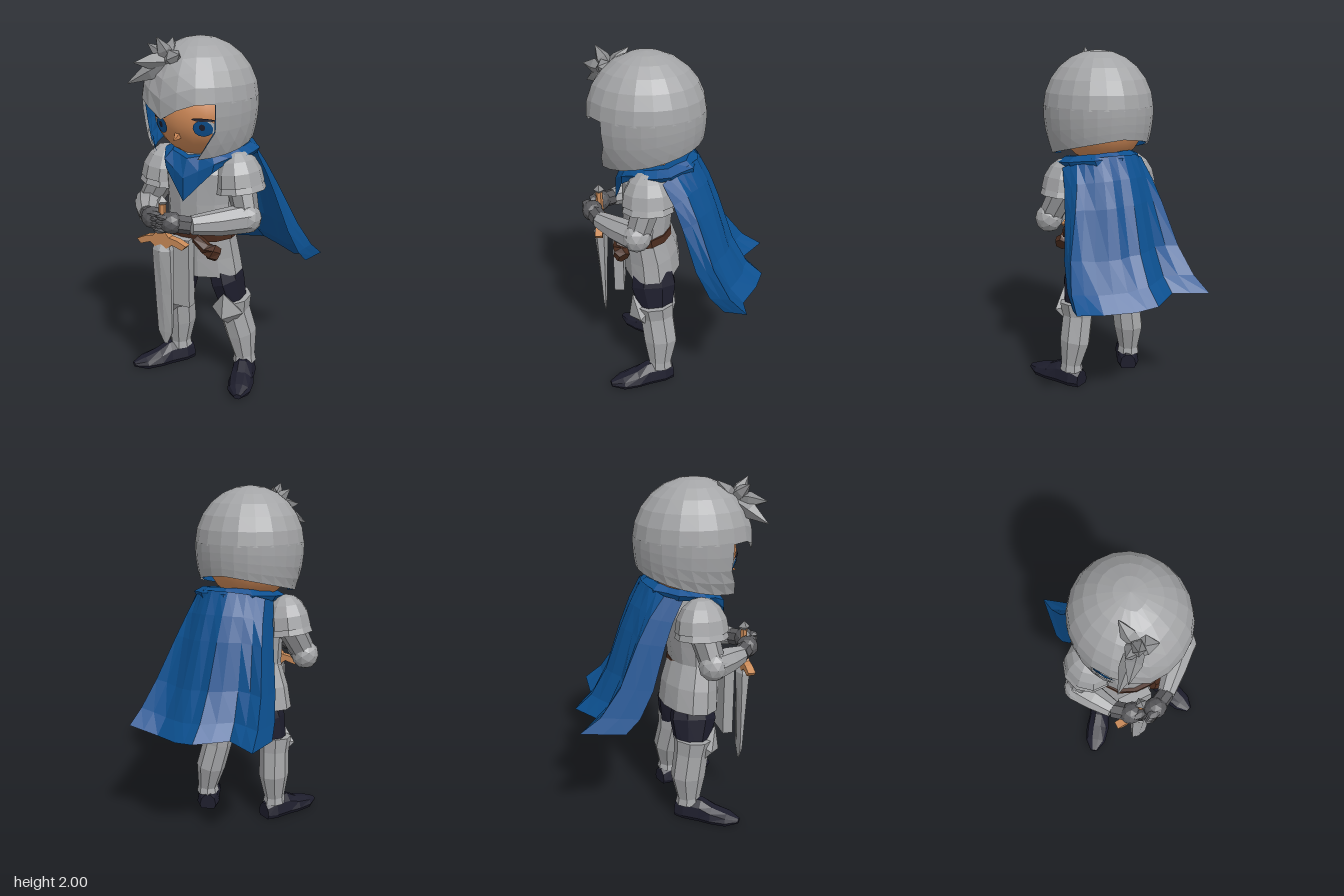
import * as THREE from 'three';

const { sin, cos, abs, max, PI, sqrt } = Math;
const V = (x, y, z) => new THREE.Vector3(x, y, z);
const lerp = THREE.MathUtils.lerp;
const mat = (name, color, side = THREE.FrontSide) => {
  const m = new THREE.MeshStandardMaterial({ color, side });
  m.name = name;
  return m;
};

// Faceted skin through rings of points, optionally closed round and capped
function loft(rings, closed = true, caps = closed) {
  const n = rings[0].length, pos = [], idx = [];
  rings.flat().forEach(p => pos.push(p.x, p.y, p.z));
  for (let i = 0; i < rings.length - 1; i++)
    for (let j = 0; j < (closed ? n : n - 1); j++) {
      const k = (j + 1) % n, a = i * n + j, b = i * n + k, c = b + n, d = a + n;
      idx.push(a, b, d, b, c, d);
    }
  if (caps) {
    const top = (rings.length - 1) * n;
    for (let j = 1; j < n - 1; j++) idx.push(0, j + 1, j, top, top + j, top + j + 1);
  }
  const g = new THREE.BufferGeometry();
  g.setAttribute('position', new THREE.Float32BufferAttribute(pos, 3));
  g.setIndex(idx);
  return facet(g);
}
function facet(g) {
  const f = g.index ? g.toNonIndexed() : g;
  f.computeVertexNormals();
  return f;
}
// Tapered limb along sections [x, y, z, rx, rz]
function limb(sections, sides = 8, caps = true) {
  const pts = sections.map(s => V(s[0], s[1], s[2]));
  return loft(sections.map((s, i) => {
    const dir = pts[Math.min(i + 1, pts.length - 1)].clone().sub(pts[max(i - 1, 0)]).normalize();
    const q = new THREE.Quaternion().setFromUnitVectors(V(0, 1, 0), dir);
    return Array.from({ length: sides }, (_, j) => {
      const a = (j + 0.5) / sides * 2 * PI;
      return V(cos(a) * s[3], 0, -sin(a) * (s[4] ?? s[3])).applyQuaternion(q).add(pts[i]);
    });
  }), true, caps);
}

export function createModel() {
  const root = new THREE.Group();
  const silver = mat('silver armour', 0xa3a4a6, THREE.DoubleSide);
  const blue = mat('blue cloth', 0x0c5090, THREE.DoubleSide);
  const skin = mat('skin', 0xd08a58);
  const navy = mat('dark navy', 0x1d1d2c);
  const iron = mat('dark iron', 0x58585b);
  const steel = mat('plume grey', 0x8c8d8f);
  const brown = mat('brown leather', 0x4b2c1e);
  const gold = mat('copper hilt', 0xc98a58);
  const white = mat('eye white', 0xb4b8bc);

  const add = (name, geo, m) => {
    const mesh = new THREE.Mesh(geo, m);
    mesh.name = name;
    root.add(mesh);
  };
  const ball = (name, m, [x, y, z], [a, b, c], detail = 1) =>
    add(name, facet(new THREE.IcosahedronGeometry(1, detail).scale(a, b, c).translate(x, y, z)), m);

  // Head and face
  add('head', new THREE.SphereGeometry(1, 20, 14).scale(0.255, 0.25, 0.26).translate(-0.07, 1.59, 0.135), skin);
  add('neck', limb([[-0.05, 1.25, 0.1, 0.1], [-0.06, 1.45, 0.1, 0.1]]), skin);
  const faceZ = (x, y) => 0.135 + 0.26 * sqrt(max(0, 1 - ((x + 0.07) / 0.255) ** 2 - ((y - 1.59) / 0.25) ** 2));
  const plate = (name, m, x, y, w, h, lift, tilt = 0) => {
    const g = new THREE.CircleGeometry(1, 12).scale(w, h, 1).rotateZ(tilt).translate(x, y, 0);
    const p = g.attributes.position;
    for (let i = 0; i < p.count; i++) p.setZ(i, faceZ(p.getX(i), p.getY(i)) + lift);
    g.computeVertexNormals();
    add(name, g, m);
  };
  for (const s of [-1, 1]) {
    const x = -0.062 + s * 0.122;
    plate('eyeWhite', white, x + s * 0.014, 1.532, 0.05, 0.038, 0.004);
    plate('iris', blue, x, 1.53, 0.045, 0.045, 0.007);
    plate('pupil', navy, x, 1.537, 0.014, 0.018, 0.009);
    plate('eyelash', navy, x + s * 0.005, 1.577, 0.052, 0.009, 0.009, -s * 0.1);
  }
  add('nose', limb([[-0.082, 1.485, 0.36, 0.024], [-0.085, 1.462, 0.405, 0.003]], 4), skin);

  // Helmet turned slightly aside: dome with a pointed brow, cheek guards, blue lining
  const helmPoint = (phi, y, s = 1) => {
    const d = y - 1.66, r = s * sqrt(max(0, 1 - (d / (d > 0 ? 0.33 : 0.5)) ** 2));
    return V(-0.06 + 0.315 * r * sin(phi - 0.18), y, 0.155 + 0.335 * r * cos(phi - 0.18));
  };
  const dome = [], guard = [], lining = [];
  for (let i = 0; i <= 6; i++)
    dome.push(Array.from({ length: 20 }, (_, j) => {
      const phi = (j / 20) * 2 * PI - PI;
      const rim = 1.67 - 0.085 * max(0, 1 - abs(phi) / 0.5);
      return helmPoint(phi, lerp(rim, 1.99, sin(i / 6 * PI / 2)));
    }));
  for (let i = 0; i <= 4; i++) {
    const row = s => Array.from({ length: 19 }, (_, j) => {
      const phi = lerp(0.65, 2 * PI - 0.65, j / 18);
      const y = lerp(1.44 - 0.07 * cos(phi) - 0.02 * abs(sin(phi)), 1.68, i / 4);
      const open = 0.95 - 0.3 * max(0, 1.52 - y) / 0.14;
      return helmPoint(lerp(open, 2 * PI - open, j / 18), y, s);
    });
    guard.push(row(1));
    lining.push(row(0.95));
  }
  add('helmetDome', loft(dome, true, false), silver);
  add('helmetGuard', loft(guard, false), silver);
  add('helmetLining', loft(lining, false), blue);

  // Plume tuft of leaf-shaped spikes on the brow
  const tuft = [-0.13, 1.87, 0.36];
  for (const [x, y, z, r] of [[-0.16, 1.995, 0.43, 0.04], [-0.3, 1.76, 0.5, 0.045], [-0.25, 1.87, 0.51, 0.045],
    [-0.17, 1.98, 0.25, 0.04], [-0.04, 1.91, 0.41, 0.05], [-0.22, 1.96, 0.42, 0.04]])
    add('plumeSpike', limb([[...tuft, r], [...[x, y, z].map((v, k) => lerp(tuft[k], v, 0.5)), r],
      [x, y, z, 0.002]], 5), steel);

  // Torso, armoured skirt, belt
  add('breastplate', limb([[-0.05, 0.92, 0.17, 0.2, 0.14], [-0.06, 1.08, 0.16, 0.2, 0.15],
    [-0.06, 1.25, 0.15, 0.22, 0.16], [-0.05, 1.36, 0.12, 0.15, 0.11]], 12), silver);
  add('armourSkirt', limb([[-0.075, 0.68, 0.135, 0.255, 0.17], [-0.07, 0.8, 0.145, 0.235, 0.165],
    [-0.05, 0.94, 0.17, 0.2, 0.145]], 12, false), silver);
  add('hips', limb([[-0.05, 0.68, 0.13, 0.17, 0.11], [-0.05, 0.85, 0.14, 0.17, 0.12]]), navy);
  const belt = limb([[-0.045, 0.9, 0.175, 0.212, 0.157], [-0.045, 0.945, 0.175, 0.212, 0.157]], 12);
  add('belt', belt.translate(0.045, -0.92, -0.175).rotateX(0.1).translate(-0.045, 0.92, 0.175), brown);
  add('beltPouch', limb([[0, 0.91, 0.33, 0.03], [0.06, 0.86, 0.33, 0.035], [0.09, 0.84, 0.32, 0.048],
    [0.12, 0.82, 0.3, 0.04]], 6), brown);
  add('tabard', facet(new THREE.BoxGeometry(0.19, 0.4, 0.06).translate(-0.12, 0.7, 0.343)), silver);

  // Shoulders and arms: [side, shoulder, elbow, wrist, hand]
  const arms = [
    [1, [0.18, 1.22, 0.15], [0.255, 1.03, 0.215], [0.03, 1.02, 0.435], [-0.065, 1.035, 0.485]],
    [-1, [-0.305, 1.21, 0.14], [-0.4, 1.02, 0.18], [-0.28, 1.02, 0.38], [-0.2, 1.035, 0.45]],
  ];
  for (const [s, sh, el, wr, ha] of arms) {
    const cap = new THREE.SphereGeometry(1, 10, 4, 0, 2 * PI, 0, PI / 2);
    const layer = (w, h, dy) => facet(cap.clone().scale(w, h, 0.15).rotateZ(s * 0.12).translate(sh[0], sh[1] + dy, sh[2]));
    add('pauldron', layer(0.135, 0.19, -0.02), silver);
    add('pauldronLowerPlate', layer(0.147, 0.1, -0.055), silver);
    add('upperArm', limb([[...el, 0.07], [...sh, 0.085]]), steel);
    ball('elbowPlate', silver, el, [0.08, 0.085, 0.085]);
    add('vambrace', limb([[...el, 0.082], [lerp(el[0], wr[0], 0.5), 1.02, lerp(el[2], wr[2], 0.5), 0.073],
      [...wr, 0.052]]), silver);
    add('gauntletCuff', limb([[...wr, 0.05], [...ha, 0.05]], 7), iron);
    ball('hand', iron, ha, [0.068, 0.062, 0.062]);
    for (let k = 0; k < 4; k++)
      ball('finger', iron, [ha[0] - s * (0.03 + 0.006 * k), ha[1] + 0.035 - 0.025 * k, ha[2] + 0.035], [0.04, 0.016, 0.032], 0);
  }

  // Legs, knee plates and boots: x of foot, knee, hip, then boot turn
  for (const [foot, knee, hip, turn] of [[0.19, 0.13, 0.05, 0.33], [-0.25, -0.24, -0.15, -0.62]]) {
    add('thigh', limb([[knee, 0.42, 0.11, 0.075, 0.09], [lerp(knee, hip, 0.45), 0.62, 0.13, 0.088, 0.14],
      [hip, 0.77, 0.135, 0.09, 0.11]]), navy);
    add('greave', limb([[foot, 0.09, 0.095, 0.068, 0.078], [foot, 0.13, 0.095, 0.06, 0.07],
      [lerp(foot, knee, 0.4), 0.27, 0.09, 0.088, 0.103], [knee, 0.42, 0.11, 0.088, 0.103],
      [knee, 0.51, 0.12, 0.098, 0.115]]), silver);
    const cop = new THREE.OctahedronGeometry(1).scale(0.1, 0.13, 0.08).rotateX(0.4);
    add('kneePlate', facet(cop.translate(knee, 0.45, 0.205)), silver);
    const boot = loft([[-0.08, 0.05, 0.07], [-0.02, 0.07, 0.11], [0.08, 0.068, 0.105], [0.15, 0.075, 0.068],
      [0.24, 0.066, 0.042], [0.31, 0.022, 0.015]].map(([z, w, h]) => Array.from({ length: 10 }, (_, j) => {
      const a = (j / 10) * 2 * PI;
      return V(cos(a) * w, max(0, 0.025 + sin(a) * h), z);
    })));
    add('boot', boot.rotateY(turn).translate(foot, 0, 0.1), navy);
  }

  // Sword held point down
  const sx = -0.14, sz = 0.45;
  add('swordGrip', limb([[sx, 0.9, sz, 0.022], [sx, 1.12, sz, 0.02]], 6), gold);
  add('pommel', facet(new THREE.OctahedronGeometry(0.035).translate(sx, 1.135, sz)), steel);
  const half = [[0, 0.86], [0.04, 0.88], [0.07, 0.9], [0.13, 0.88], [0.155, 0.905], [0.1, 0.93], [0.05, 0.94], [0, 1.0]];
  const outline = [...half, ...half.slice(1, -1).reverse().map(([x, y]) => [-x, y])];
  const guardShape = new THREE.Shape(outline.map(([x, y]) => new THREE.Vector2(x, y)));
  const guardGeo = new THREE.ExtrudeGeometry(guardShape, { depth: 0.044, bevelEnabled: false });
  add('crossguard', guardGeo.translate(sx, 0, sz - 0.022), gold);
  add('blade', limb([[sx, 0.285, 0.445, 0.012, 0.004], [sx, 0.36, 0.445, 0.052, 0.012],
    [sx, 0.6, 0.447, 0.06, 0.026], [sx, 0.86, sz, 0.066, 0.043], [sx, 0.9, sz, 0.05, 0.02]], 6), silver);

  // Scarf round the neck, pointed at the chest
  const scarf = [[0.235, 0.24, 1.345, 0.2], [0.255, 0.235, 1.375, 0.1], [0.2, 0.19, 1.405, 0.03], [0.11, 0.12, 1.39, 0]];
  add('scarf', loft(scarf.map(([rx, rz, y, dip]) => Array.from({ length: 20 }, (_, j) => {
    const a = (j / 20) * 2 * PI - PI, fold = 0.008 * cos(j * PI);
    return V(-0.01 - 0.06 * max(0, cos(a)) + (rx + fold) * sin(a),
      y - 0.03 * cos(a) - dip * max(0, 1 - abs(a) / 0.8), 0.1 + (rz + fold) * cos(a));
  })), true, false), blue);

  // Cape: collar points sweep down and back to the hem
  const collar = [[-0.24, 1.35, 0.05], [-0.22, 1.38, -0.05], [-0.13, 1.41, -0.11], [-0.03, 1.42, -0.13],
    [0.07, 1.42, -0.12], [0.14, 1.41, -0.07], [0.2, 1.39, 0], [0.25, 1.35, 0.07]];
  const hem = [[-0.35, 0.64, -0.3], [-0.32, 0.66, -0.555], [-0.15, 0.66, -0.43], [0.03, 0.65, -0.525],
    [0.15, 0.63, -0.48], [0.3, 0.62, -0.39], [0.475, 0.66, -0.39], [0.42, 0.64, -0.27]];
  const sweep = [[0, 0], [0.16, 0.17], [0.34, 0.31], [0.68, 0.53], [0.89, 0.76], [1, 1]];
  const cape = sweep.map(([fy, fz]) => {
    const row = collar.map((c, j) => V(lerp(c[0], hem[j][0], fy), lerp(c[1], hem[j][1], fy), lerp(c[2], hem[j][2], fz)));
    // shallow pleats between the main folds
    return row.flatMap((p, j) => {
      if (j === row.length - 1) return [p];
      const mid = p.clone().lerp(row[j + 1], 0.5);
      mid.z += (j % 2 ? 0.014 : -0.01) * sin(fy * PI);
      return [p, mid];
    });
  });
  add('cape', loft(cape.reverse().map(r => r.reverse()), false), blue);

  return root;
}
